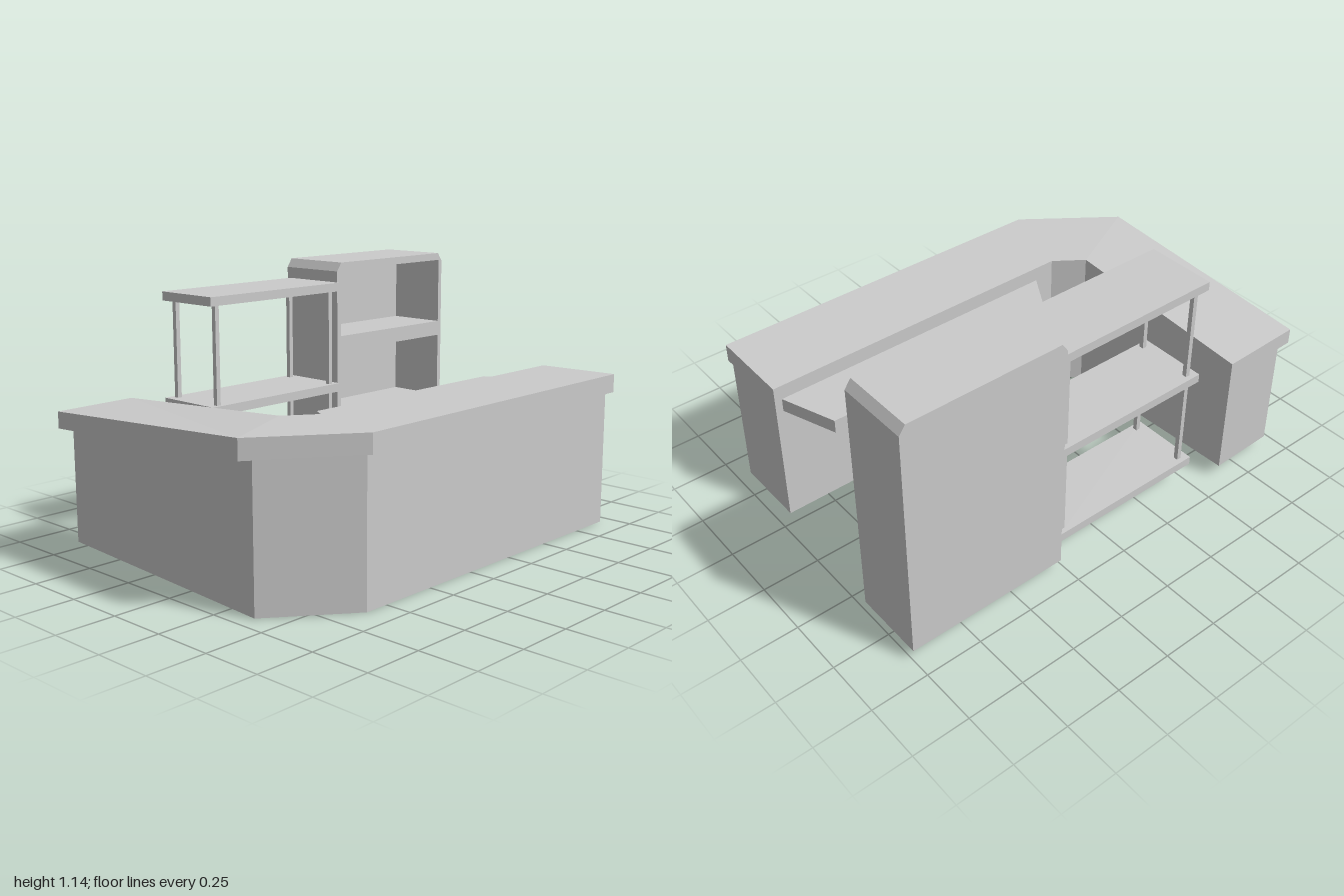
import * as THREE from 'three';

const material = new THREE.MeshStandardMaterial({ color: 0xcccccc, flatShading: true });

function addMesh(parent, name, geometry) {
  const mesh = new THREE.Mesh(geometry, material);
  mesh.name = name;
  parent.add(mesh);
  return mesh;
}

// Box given by its minimum and maximum corners
function addBox(parent, name, [x0, y0, z0], [x1, y1, z1]) {
  const mesh = addMesh(parent, name, new THREE.BoxGeometry(x1 - x0, y1 - y0, z1 - z0));
  mesh.position.set((x0 + x1) / 2, (y0 + y1) / 2, (z0 + z1) / 2);
}

// Joins matching six-point cross-sections and caps both ends
function loftCounter(sections) {
  const positions = [];
  const quad = (a, b, c, d) => [a, b, c, a, c, d].forEach((p) => positions.push(...p));
  for (let s = 0; s + 1 < sections.length; s++) {
    const A = sections[s], B = sections[s + 1];
    for (let i = 0; i < 6; i++) {
      const j = (i + 1) % 6;
      quad(A[i], A[j], B[j], B[i]);
    }
  }
  const A = sections[0], Z = sections[sections.length - 1];
  for (const q of [[0, 1, 2, 5], [2, 3, 4, 5]]) {
    quad(...[...q].reverse().map((i) => A[i]));
    quad(...q.map((i) => Z[i]));
  }
  const geometry = new THREE.BufferGeometry();
  geometry.setAttribute('position', new THREE.Float32BufferAttribute(positions, 3));
  geometry.computeVertexNormals();
  return geometry;
}

// Section from plan points (inner, base, lip) and heights
function counterSection(inner, base, lip, bottom, under, topOuter, topInner) {
  const at = ([x, z], y) => [x, y, z];
  return [at(inner, bottom), at(base, bottom), at(base, under),
    at(lip, under), at(lip, topOuter), at(inner, topInner)];
}

function polygon(points) {
  return points.map(([x, y]) => new THREE.Vector2(x, y));
}

export function createModel() {
  const model = new THREE.Group();
  model.name = 'counterSet';

  // Angled counter with overhanging lip; the side arm tapers toward its end
  addMesh(model, 'counter', loftCounter([
    counterSection([0.94, 0.305], [0.94, 0.635], [0.94, 0.675], 0, 0.595, 0.675, 0.67),
    counterSection([-0.51, 0.31], [-0.605, 0.635], [-0.62, 0.675], 0, 0.595, 0.675, 0.67),
    counterSection([-0.635, 0.22], [-0.93, 0.39], [-1, 0.395], 0.003, 0.593, 0.675, 0.67),
    counterSection([-0.63, -0.68], [-0.93, -0.672], [-1, -0.67], 0.057, 0.545, 0.614, 0.614),
  ]));

  // Work surface on the inner side of the counter
  const desk = new THREE.Shape(polygon([[-0.42, -0.312], [0.91, -0.312], [0.82, -0.06], [-0.26, -0.045]]));
  const deskMesh = addMesh(model, 'workSurface',
    new THREE.ExtrudeGeometry(desk, { depth: 0.06, bevelEnabled: false }));
  deskMesh.rotation.x = -Math.PI / 2;
  deskMesh.position.y = 0.545;

  // Open rack: three boards on four posts
  const rack = new THREE.Group();
  rack.name = 'openRack';
  model.add(rack);
  for (const y of [0.115, 0.563, 1.015]) {
    addBox(rack, 'rackBoard', [-0.49, y, -0.63], [0.255, y + 0.038, -0.323]);
  }
  for (const x of [-0.445, 0.215]) {
    for (const z of [-0.348, -0.598]) {
      addBox(rack, 'rackPost', [x - 0.01, 0.13, z - 0.01], [x + 0.01, 1.03, z + 0.01]);
    }
  }

  // Cabinet with chamfered top corners and three open bays
  const cabinet = new THREE.Group();
  cabinet.name = 'cabinet';
  model.add(cabinet);
  const outline = polygon([[0.267, 0.048], [0.997, 0.048], [0.997, 1.1], [0.97, 1.138], [0.293, 1.138], [0.267, 1.1]]);
  const frame = new THREE.Shape(outline);
  for (const [y0, y1] of [[0.08, 0.375], [0.445, 0.74], [0.808, 1.105]]) {
    frame.holes.push(new THREE.Path(polygon([[0.29, y0], [0.29, y1], [0.975, y1], [0.975, y0]])));
  }
  addMesh(cabinet, 'cabinetFrame', new THREE.ExtrudeGeometry(frame, { depth: 0.27, bevelEnabled: false }))
    .position.z = -0.615;
  addMesh(cabinet, 'cabinetBack', new THREE.ExtrudeGeometry(new THREE.Shape(outline), { depth: 0.045, bevelEnabled: false }))
    .position.z = -0.66;

  return model;
}
